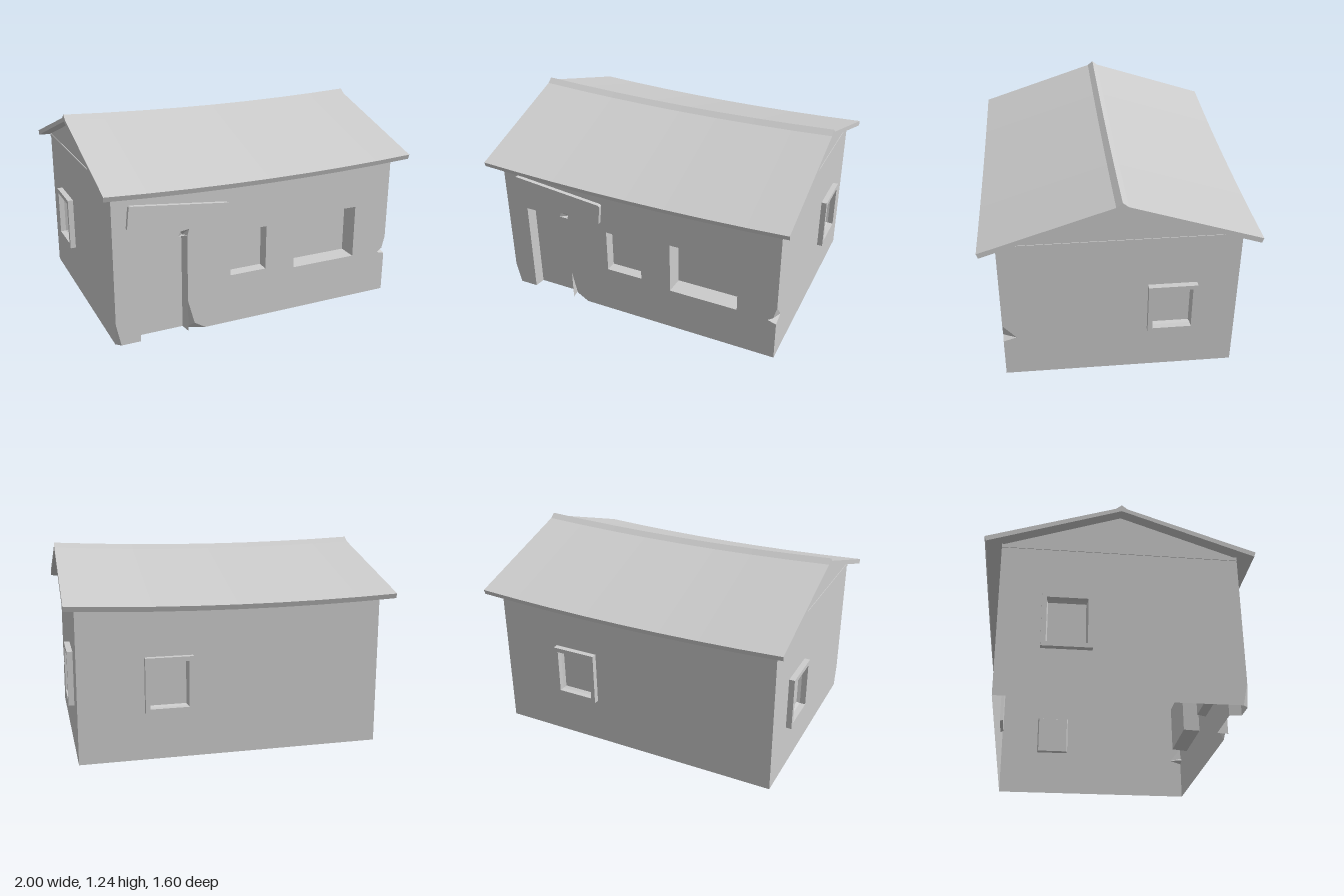
import * as THREE from 'three';

const plaster = new THREE.MeshStandardMaterial({ color: 0xcccccc, side: THREE.DoubleSide });
plaster.name = 'plain grey';

const HX = 0.935, HZ = 0.7; // half width and half depth of the walls

function mesh(geometry, name) {
  const m = new THREE.Mesh(geometry, plaster);
  m.name = name;
  return m;
}

const pts = (list) => list.map(([x, y]) => new THREE.Vector2(x, y));
const rect = (x0, y0, x1, y1) => [[x0, y0], [x1, y0], [x1, y1], [x0, y1]];

// Flat-shaded faces from a list of triangles of [x, y, z] corners
function facets(triangles, name) {
  const g = new THREE.BufferGeometry();
  g.setAttribute('position', new THREE.Float32BufferAttribute(triangles.flat(2), 3));
  g.computeVertexNormals();
  return mesh(g, name);
}

// Tapered reveal running back from an opening, closed by a flat pane
function recess([x0, y0, x1, y1], depth, taper, open, name) {
  const outer = rect(x0, y0, x1, y1).map(([x, y]) => [x, y, 0]);
  const inner = rect(x0 + taper, y0 + (open ? 0 : taper), x1 - taper, y1 - taper)
    .map(([x, y]) => [x, y, -depth]);
  const t = [[inner[0], inner[1], inner[2]], [inner[0], inner[2], inner[3]]];
  for (let i = open ? 1 : 0; i < 4; i++) {
    const j = (i + 1) % 4;
    t.push([outer[i], outer[j], inner[j]], [outer[i], inner[j], inner[i]]);
  }
  return facets(t, name);
}

// Thin wall drawn in its own plane, with openings and optional raised frames
function wall(name, outline, windows, turn, distance) {
  const group = new THREE.Group();
  group.name = name;
  const shape = new THREE.Shape(pts(outline));
  for (const w of windows) {
    const [x0, y0, x1, y1] = w.box;
    shape.holes.push(new THREE.Path(pts(rect(x0, y0, x1, y1))));
    group.add(recess(w.box, w.depth, 0.008, false, 'windowRecess'));
    if (w.frame) {
      const f = w.frame;
      const ring = new THREE.Shape(pts(rect(x0 - f, y0 - f, x1 + f, y1 + f)));
      ring.holes.push(new THREE.Path(pts(rect(x0, y0, x1, y1))));
      group.add(mesh(new THREE.ExtrudeGeometry(ring, { depth: 0.035, bevelEnabled: false }), 'windowFrame'));
    }
  }
  group.add(mesh(new THREE.ShapeGeometry(shape), name + 'Panel'));
  group.rotation.y = turn;
  group.position.set(Math.sin(turn) * distance, 0, Math.cos(turn) * distance);
  return group;
}

const framed = (x0, x1) => ({ box: [x0, 0.32, x1, 0.6], depth: 0.02, frame: 0.028 });

function roof() {
  const profile = [[0.8, 0.962], [0.035, 1.215], [0, 1.243], [-0.035, 1.215], [-0.8, 0.962],
    [-0.79, 0.932], [0, 1.2], [0.79, 0.932]];
  const g = new THREE.ExtrudeGeometry(new THREE.Shape(pts(profile)),
    { depth: 2, steps: 8, bevelEnabled: false });
  g.translate(0, 0, -1).rotateY(Math.PI / 2);
  // sag towards the middle of the ridge
  const p = g.attributes.position;
  for (let i = 0; i < p.count; i++) p.setY(i, p.getY(i) - 0.027 * (1 - p.getX(i) ** 2));
  g.computeVertexNormals();
  return mesh(g, 'roof');
}

function signBoard() {
  const w = 0.31, h = 0.0725, r = 0.015;
  const s = new THREE.Shape();
  s.absarc(w - r, h - r, r, 0, Math.PI / 2);
  s.absarc(r - w, h - r, r, Math.PI / 2, Math.PI);
  s.absarc(r - w, r - h, r, Math.PI, Math.PI * 1.5);
  s.absarc(w - r, r - h, r, Math.PI * 1.5, Math.PI * 2);
  const m = mesh(new THREE.ExtrudeGeometry(s, { depth: 0.025, bevelEnabled: false, curveSegments: 3 }), 'signBoard');
  m.position.set(-0.538, 0.757, HZ);
  m.rotation.z = -0.105;
  return m;
}

export function createModel() {
  const house = new THREE.Group();
  house.name = 'house';

  // Front wall: door notch, broken lintel and chipped corners in the outline
  const front = wall('frontWall', [
    [-0.905, 0], [-0.785, 0], [-0.785, 0.625], [-0.54, 0.625], [-0.525, 0.655], [-0.47, 0.662],
    [-0.482, 0.62], [-0.482, 0.2], [-0.44, 0.045], [-0.37, 0], [HX, 0], [HX, 0.26], [0.88, 0.275],
    [0.915, 0.3], [HX, 0.38], [HX, 0.95], [-HX, 0.95], [-HX, 0.14],
  ], [
    { box: [-0.2, 0.315, 0.04, 0.597], depth: 0.06 },
    { box: [0.24, 0.285, 0.685, 0.625], depth: 0.11 },
  ], 0, HZ);
  front.add(recess([-0.785, 0, -0.482, 0.625], 0.07, 0.01, true, 'doorRecess'));
  house.add(front);

  // Broken plaster faces behind the chips
  const z = HZ, foot = [-0.482, 0, 0.65];
  house.add(facets([
    [[-0.482, 0.2, z], foot, [-0.44, 0.045, z]],
    [[-0.44, 0.045, z], foot, [-0.37, 0, z]],
  ], 'doorChip'));
  house.add(facets([[[-HX, 0.14, z], [-HX, 0, 0.67], [-0.905, 0, z]]], 'leftCornerChip'));
  const pit = [HX, 0.285, 0.62];
  house.add(facets([
    [[HX, 0.38, z], [0.915, 0.3, z], pit],
    [[0.915, 0.3, z], [0.88, 0.275, z], pit],
    [[0.88, 0.275, z], [HX, 0.26, z], pit],
  ], 'rightCornerChip'));
  const brk = [-0.5, 0.62, 0.66];
  house.add(facets([
    [[-0.54, 0.625, z], brk, [-0.525, 0.655, z]],
    [[-0.525, 0.655, z], brk, [-0.47, 0.662, z]],
    [[-0.47, 0.662, z], brk, [-0.482, 0.62, z]],
  ], 'lintelChip'));

  // Gable walls and back wall, each with one framed window
  house.add(wall('leftGableWall', [
    [-HZ, 0], [HZ, 0], [HZ, 0.955], [0, 1.195], [-HZ, 0.955], [-HZ, 0.38], [-0.62, 0.285], [-HZ, 0.26],
  ], [framed(0.193, 0.427)], Math.PI / 2, HX));
  house.add(wall('rightGableWall', [
    [-HZ, 0], [0.67, 0], [HZ, 0.14], [HZ, 0.955], [0, 1.195], [-HZ, 0.955],
  ], [framed(-0.427, -0.193)], -Math.PI / 2, HX));
  house.add(wall('backWall', rect(-HX, 0, HX, 0.95), [framed(-0.512, -0.278)], Math.PI, HZ));

  // Thin band along the foot of each gable
  for (const side of [1, -1]) {
    const band = mesh(new THREE.BoxGeometry(0.008, 0.022, 2 * HZ), 'gableBand');
    band.position.set(side * HX, 0.947, 0);
    house.add(band);
  }

  house.add(roof(), signBoard());
  return house;
}
